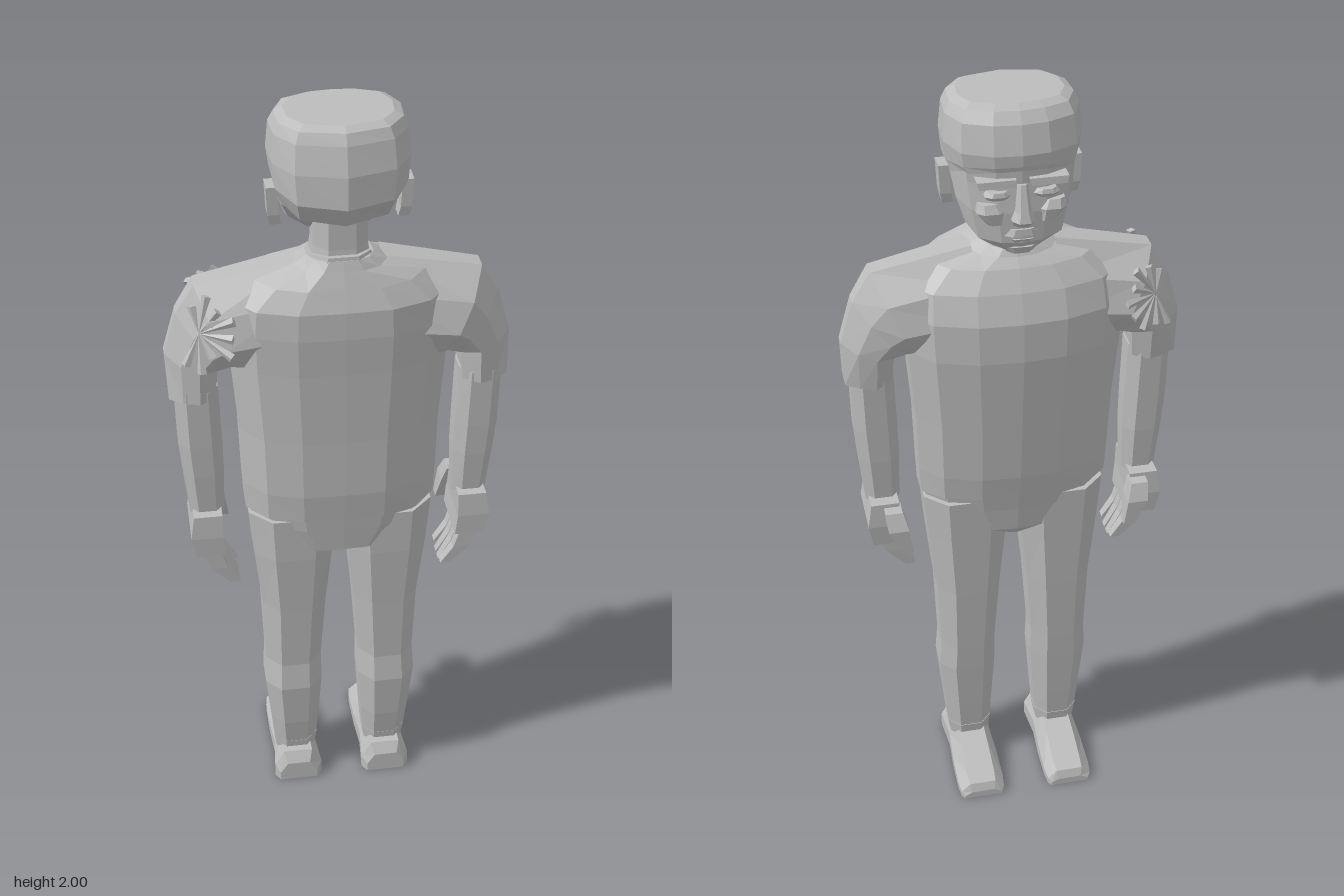
import * as THREE from 'three';

const grey = new THREE.MeshStandardMaterial({ color: 0xbcbcbc, flatShading: true });
grey.name = 'plain grey';

// Horizontal cross-sections, as x, z factors from -1 to 1
const BODY = [[1, -.3], [1, .3], [.78, .78], [.42, 1], [0, 1.02], [-.42, 1], [-.78, .78], [-1, .3], [-1, -.3], [-.78, -.75], [-.4, -.97], [0, -1.02], [.4, -.97], [.78, -.75]];
const SKULL = [[1, -.25], [.97, .35], [.7, .8], [0, 1], [-.7, .8], [-.97, .35], [-1, -.25], [-.82, -.75], [-.4, -.97], [0, -1.02], [.4, -.97], [.82, -.75]];
const OCT = [[1, -.45], [1, .45], [.5, 1], [-.5, 1], [-1, .45], [-1, -.45], [-.5, -1], [.5, -1]];
const RECT = [[1, -1], [1, 1], [-1, 1], [-1, -1]];

// Closed skin over rings of [x, y, z] points, turned to face outward
function loft(name, rings) {
  const n = rings[0].length, tris = [];
  for (let i = 0; i < rings.length - 1; i++) for (let j = 0; j < n; j++) {
    const k = (j + 1) % n, a = rings[i][j], b = rings[i][k], c = rings[i + 1][k], d = rings[i + 1][j];
    tris.push([a, b, c], [a, c, d]);
  }
  const cap = (r, flip) => {
    const m = [0, 1, 2].map(q => r.reduce((s, p) => s + p[q], 0) / n);
    r.forEach((p, j) => { const q = r[(j + 1) % n]; tris.push(flip ? [q, p, m] : [p, q, m]); });
  };
  cap(rings[0], true);
  cap(rings[rings.length - 1], false);
  let vol = 0;
  const o = new THREE.Vector3(...rings[0][0]);
  for (const t of tris) {
    const [a, b, c] = t.map(p => new THREE.Vector3(...p).sub(o));
    vol += a.dot(b.cross(c));
  }
  const pos = tris.flatMap(t => (vol < 0 ? [t[0], t[2], t[1]] : t).flat());
  const g = new THREE.BufferGeometry();
  g.setAttribute('position', new THREE.Float32BufferAttribute(pos, 3));
  g.computeVertexNormals();
  const mesh = new THREE.Mesh(g, grey);
  mesh.name = name;
  return mesh;
}

// Upright part; each row is [y, centre x, half width, z front, z back, slope]
function column(name, rows, profile = OCT, side = 1) {
  return loft(name, rows.map(([y, cx, rx, z0, z1, slope = 0]) => profile.map(([u, v]) => {
    const h = v * (z1 - z0) / 2;
    return [side * (cx + u * rx), y + slope * h, (z0 + z1) / 2 + h];
  })));
}

// Sleeve ring between an outer and an inner point, narrow at the outer ridge
function sleeveRing(side, [ox, oy], [ix, iy], z0, z1, ridge) {
  const pts = [[0, ridge], [.3, .8], [.65, 1], [1, .6], [1, -.6], [.65, -1], [.3, -.8], [0, -ridge]];
  return pts.map(([t, v]) => [side * (ox + (ix - ox) * t), oy + (iy - oy) * t, (z0 + z1) / 2 + v * (z1 - z0) / 2]);
}

function limbs(side) {
  const g = new THREE.Group();
  g.name = side > 0 ? 'leftLimbs' : 'rightLimbs';
  g.add(loft('sleeve', [
    sleeveRing(side, [.1, 1.635], [.12, 1.38], -.085, .135, .3),
    sleeveRing(side, [.34, 1.585], [.24, 1.38], -.09, .14, .2),
    sleeveRing(side, [.385, 1.51], [.262, 1.375], -.07, .118, .2),
    sleeveRing(side, [.418, 1.4], [.295, 1.36], -.052, .102, .2),
    sleeveRing(side, [.414, 1.285], [.302, 1.285], -.035, .1, .45)]));
  g.add(column('forearm', [
    [1.31, .348, .053, -.025, .09], [1.15, .345, .054, -.022, .088],
    [1.06, .341, .051, -.02, .085], [.93, .337, .043, -.012, .075]], OCT, side));
  g.add(column('palm', [
    [.945, .338, .036, -.045, .1], [.88, .343, .041, -.05, .105], [.82, .335, .038, -.045, .103]], RECT, side));
  for (let i = 0; i < 4; i++) {
    const z = -.006 + i * .031, drop = i === 0 || i === 3 ? .012 : 0;
    g.add(column('finger', [
      [.83, .335, .024, z - .016, z + .014], [.775, .316, .021, z - .015, z + .013],
      [.712 + drop, .276, .013, z - .012, z + .01]], RECT, side));
  }
  g.add(column('thumb', [
    [.935, .32, .022, -.075, -.03], [.89, .312, .026, -.095, -.04], [.82, .292, .015, -.093, -.066]], RECT, side));
  g.add(column('leg', [
    [.1, .125, .058, -.022, .092], [.2, .126, .066, -.03, .108], [.34, .128, .077, -.04, .12],
    [.42, .126, .074, -.045, .11], [.62, .122, .084, -.055, .118],
    [.8, .122, .102, -.06, .128], [.93, .122, .112, -.065, .13]], OCT, side));
  g.add(column('trouserCuff', [[.07, .125, .054, -.02, .09], [.115, .125, .06, -.025, .095]], OCT, side));
  // Shoe as upright slices running from heel to toe
  const slices = [[.13, .052, .06], [.11, .066, .09], [.02, .058, .1], [-.06, .063, .075], [-.15, .064, .05], [-.185, .06, .043], [-.195, .052, .02]];
  const arch = [[1, 0], [1, .45], [.6, 1], [-.6, 1], [-1, .45], [-1, 0]];
  g.add(loft('shoe', slices.map(([z, w, h]) => arch.map(([u, v]) => [side * (.124 + u * w), v * h, z]))));
  // Half of the face, and the ear
  g.add(column('ear', [
    [1.735, .147, .013, .025, .06], [1.76, .152, .013, .02, .065], [1.83, .155, .013, .02, .068]], RECT, side));
  g.add(column('brow', [[1.828, .06, .04, -.119, -.08], [1.845, .06, .045, -.117, -.08]], RECT, side));
  g.add(column('eye', [[1.797, .056, .024, -.115, -.08], [1.806, .056, .03, -.12, -.08], [1.816, .056, .022, -.117, -.08]], OCT, side));
  g.add(column('cheek', [[1.735, .06, .02, -.113, -.07], [1.765, .07, .034, -.118, -.07], [1.785, .075, .025, -.108, -.07]], OCT, side));
  return g;
}

// Jagged shards fanned around a torn spot on the right shoulder
function tear() {
  const g = new THREE.Group();
  g.name = 'tornSleeve';
  let seed = 7;
  const rnd = () => (seed = (seed * 16807) % 2147483647) / 2147483647;
  for (const [z, tilt, count] of [[-.066, -1, 9], [.106, 1, 9]]) {
    const fan = new THREE.Group();
    fan.name = 'shardFan';
    for (let i = 0; i < count; i++) {
      const a = -1.9 + i / (count - 1) * 3.8, len = .06 + .04 * rnd();
      const shard = new THREE.Mesh(new THREE.ConeGeometry(.012, len, 4), grey);
      shard.name = 'shard';
      shard.scale.z = .7;
      shard.position.set(Math.cos(a) * len * .5, Math.sin(a) * len * .5, .004 * rnd());
      shard.rotation.z = a + Math.PI / 2;
      fan.add(shard);
    }
    fan.position.set(-.335, 1.49, z);
    fan.lookAt(-.335 - .5, 1.49 + .28, z + tilt);
    if (tilt < 0) fan.rotateZ(Math.PI);
    g.add(fan);
  }
  return g;
}

export function createModel() {
  const model = new THREE.Group();
  model.name = 'standingMan';
  // Shirt, collar and hips
  model.add(column('shirt', [
    [.945, 0, .24, -.088, .147, -.06], [1.02, 0, .243, -.1, .155], [1.18, 0, .247, -.115, .155],
    [1.38, 0, .262, -.133, .16], [1.48, 0, .266, -.13, .165], [1.55, 0, .26, -.105, .163],
    [1.6, 0, .2, -.075, .145], [1.63, 0, .11, -.055, .13, .1], [1.65, 0, .078, -.045, .122, .15]], BODY));
  model.add(column('collar', [
    [1.62, 0, .085, -.05, .125, .15], [1.655, 0, .07, -.04, .12, .2]], OCT));
  model.add(column('hips', [
    [.8, 0, .03, -.04, .09], [.83, 0, .15, -.062, .132], [.9, 0, .222, -.07, .138], [.96, 0, .234, -.08, .143]], BODY));
  // Neck and head
  model.add(column('neck', [[1.6, 0, .075, -.025, .11], [1.68, 0, .064, -.022, .102], [1.78, 0, .062, -.02, .1]], OCT));
  model.add(column('head', [
    [1.687, 0, .07, -.092, .06, .4], [1.722, 0, .118, -.11, .09, .36], [1.775, 0, .136, -.112, .135, .12],
    [1.83, 0, .145, -.105, .165], [1.9, 0, .148, -.107, .17], [1.95, 0, .14, -.09, .15]], SKULL));
  model.add(column('hair', [
    [1.815, 0, .142, -.108, .155, -.35], [1.848, 0, .154, -.111, .19, -.16], [1.9, 0, .16, -.113, .186],
    [1.965, 0, .154, -.095, .168], [1.99, 0, .142, -.075, .155], [2, 0, .122, -.055, .135]], SKULL));
  model.add(column('nose', [
    [1.733, 0, .022, -.128, -.08], [1.748, 0, .027, -.143, -.08], [1.77, 0, .018, -.136, -.08], [1.83, 0, .012, -.116, -.08]], OCT));
  model.add(column('upperLip', [[1.705, 0, .045, -.12, -.07], [1.722, 0, .035, -.118, -.07]], OCT));
  model.add(column('lowerLip', [[1.682, 0, .028, -.108, -.06], [1.696, 0, .038, -.116, -.06]], OCT));
  model.add(column('chin', [[1.653, 0, .032, -.1, -.04], [1.672, 0, .042, -.108, -.04]], OCT));
  // Mirrored limbs and face halves
  model.add(limbs(1), limbs(-1), tear());
  return model;
}
